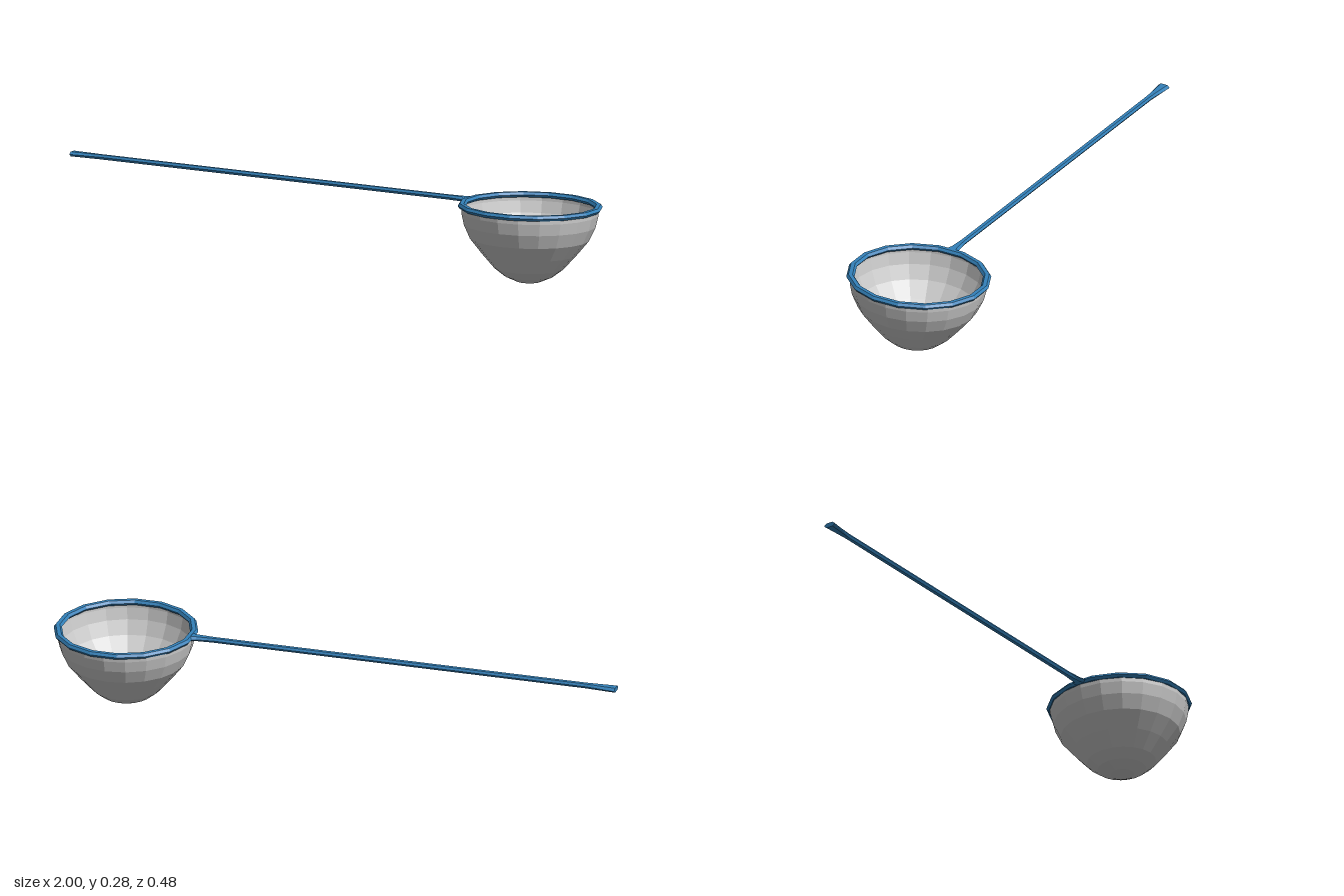
import * as THREE from 'three';

const vec = ([x, y]) => new THREE.Vector2(x, y);

// Bar along x lofted from six-sided sections [x, halfWidth, halfHeight]
function loftBar(sections) {
  const pos = [], idx = [], n = 6;
  for (const [x, w, h] of sections) {
    const ring = [[w, 0], [w * 0.55, h], [-w * 0.55, h], [-w, 0], [-w * 0.55, -h], [w * 0.55, -h]];
    for (const [z, y] of ring) pos.push(x, y, z);
  }
  for (let s = 0; s < sections.length - 1; s++) {
    for (let i = 0; i < n; i++) {
      const a = s * n + i, b = s * n + (i + 1) % n;
      idx.push(a, a + n, b, b, a + n, b + n);
    }
  }
  const last = (sections.length - 1) * n;
  for (let i = 1; i < n - 1; i++) {
    idx.push(0, i, i + 1);
    idx.push(last, last + i + 1, last + i);
  }
  const geo = new THREE.BufferGeometry();
  geo.setAttribute('position', new THREE.Float32BufferAttribute(pos, 3));
  geo.setIndex(idx);
  geo.computeVertexNormals();
  return geo;
}

export function createModel() {
  const model = new THREE.Group();
  const blue = new THREE.MeshStandardMaterial({ color: 0x3380b8, flatShading: true });
  const grey = new THREE.MeshStandardMaterial({ color: 0xcccccc, flatShading: true, side: THREE.DoubleSide });

  // Everything leans slightly, front edge up
  const spoon = new THREE.Group();
  spoon.name = 'strainer';
  spoon.position.y = 0.264;
  spoon.rotation.x = -0.047;
  model.add(spoon);

  const add = (name, geo, mat, x = 0) => {
    const mesh = new THREE.Mesh(geo, mat);
    mesh.name = name;
    mesh.position.x = x;
    spoon.add(mesh);
  };

  // Thin open bowl
  const bowl = [[0, -0.263], [0.04, -0.258], [0.083, -0.239], [0.118, -0.212], [0.162, -0.162],
    [0.204, -0.11], [0.226, -0.062], [0.235, -0.022], [0.236, 0]].map(vec);
  add('bowl', new THREE.LatheGeometry(bowl, 20), grey, 0.755);

  // Faceted rim ring
  const rim = [[0.226, -0.009], [0.24, -0.009], [0.247, 0], [0.24, 0.009], [0.226, 0.009],
    [0.219, 0], [0.226, -0.009]].map(vec);
  add('rim', new THREE.LatheGeometry(rim, 16, Math.PI / 16), blue, 0.755);

  // Long handle, flared at the grip end and where it meets the rim
  add('handle', loftBar([[-1, 0.022, 0.008], [-0.97, 0.019, 0.008], [-0.89, 0.011, 0.008],
    [0.44, 0.011, 0.008], [0.5, 0.018, 0.008], [0.525, 0.03, 0.008]]), blue);

  return model;
}
